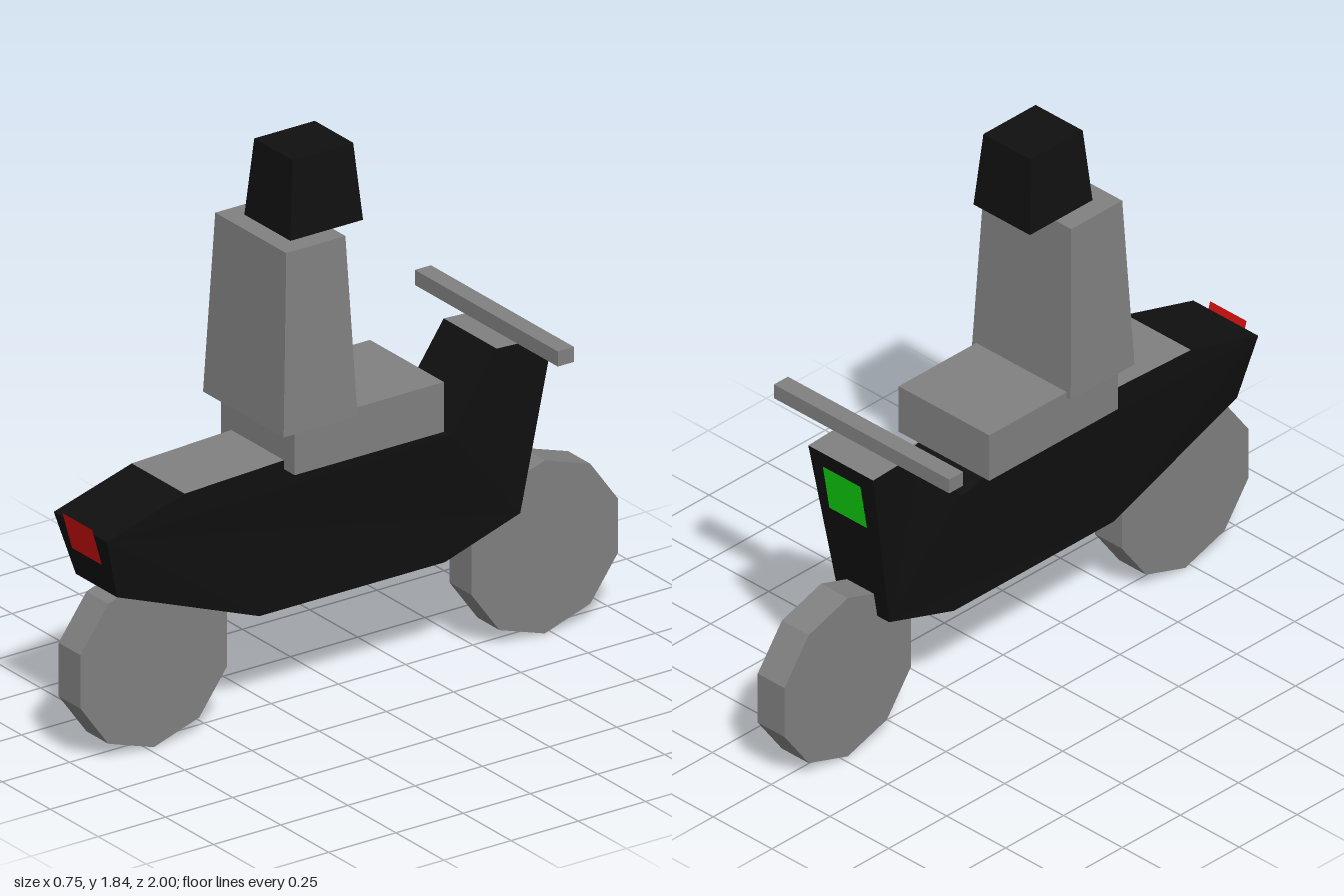
import * as THREE from 'three';

const mat = (name, color, side = THREE.FrontSide) => {
  const m = new THREE.MeshStandardMaterial({ color, side });
  m.name = name;
  return m;
};

// Unshared vertices give every face its own flat normal
function flat(geometry) {
  const g = geometry.index ? geometry.toNonIndexed() : geometry;
  g.computeVertexNormals();
  return g;
}

// Box whose top and bottom have different sizes; y0 and y1 are heights
function taperedBox(wBottom, dBottom, wTop, dTop, y0, y1) {
  const g = new THREE.BoxGeometry(1, y1 - y0, 1).translate(0, (y0 + y1) / 2, 0);
  const p = g.attributes.position;
  for (let i = 0; i < p.count; i++) {
    const top = p.getY(i) > (y0 + y1) / 2;
    p.setX(i, p.getX(i) * (top ? wTop : wBottom));
    p.setZ(i, p.getZ(i) * (top ? dTop : dBottom));
  }
  return flat(g);
}

// Scooter shell: side outline with a half width per point.
// Each row is z, y, half width, material of the strip to the next point.
function bodyGeometry() {
  const U = 0.138, L = 0.107, BLACK = 0, GREY = 1;
  const outline = [
    [-0.60, 0.45, L, GREY], [-0.32, 0.36, L, GREY], [0.37, 0.36, L, GREY], [0.90, 0.56, L, BLACK],
    [0.96, 0.77, U, BLACK], [0.67, 0.855, U, GREY], [0.30, 0.87, U, GREY], [-0.10, 0.84, U, BLACK],
    [-0.32, 0.79, U, BLACK], [-0.49, 1.035, U, GREY], [-0.70, 1.025, U, BLACK],
  ];
  const faces = [[], []];
  const at = (i, s) => [s * outline[i][2], outline[i][1], outline[i][0]];

  // side panels
  const contour = outline.map(([z, y]) => new THREE.Vector2(z, y));
  for (const [a, b, c] of THREE.ShapeUtils.triangulateShape(contour, [])) {
    faces[BLACK].push(at(a, -1), at(b, -1), at(c, -1), at(a, 1), at(c, 1), at(b, 1));
  }
  // strips around the outline
  outline.forEach((row, a) => {
    const b = (a + 1) % outline.length;
    faces[row[3]].push(at(a, -1), at(a, 1), at(b, 1), at(a, -1), at(b, 1), at(b, -1));
  });

  const g = new THREE.BufferGeometry();
  g.setAttribute('position', new THREE.Float32BufferAttribute(faces.flat(2), 3));
  g.addGroup(0, faces[BLACK].length, BLACK);
  g.addGroup(faces[BLACK].length, faces[GREY].length, GREY);
  return flat(g);
}

export function createModel() {
  const model = new THREE.Group();
  model.name = 'scooterWithRider';
  const black = mat('black', 0x101010);
  const grey = mat('grey', 0x808080);
  const red = mat('tailLightRed', 0xd01010, THREE.DoubleSide);
  const green = mat('headLightGreen', 0x10d010, THREE.DoubleSide);

  const add = (name, geometry, material, x = 0, y = 0, z = 0) => {
    const mesh = new THREE.Mesh(geometry, material);
    mesh.name = name;
    mesh.position.set(x, y, z);
    model.add(mesh);
    return mesh;
  };

  add('body', bodyGeometry(), [black, grey]);

  // ten-sided wheels with a corner at the bottom
  const R = 0.287;
  const wheel = flat(new THREE.CylinderGeometry(R, R, 0.114, 10).rotateY(Math.PI / 10).rotateZ(Math.PI / 2));
  add('rearWheel', wheel, grey, 0, R, 0.727);
  add('frontWheel', wheel, grey, 0, R, -0.727);

  add('seat', new THREE.BoxGeometry(0.385, 0.165, 0.555), grey, 0, 0.9225, 0.0225);
  add('handlebar', new THREE.BoxGeometry(0.745, 0.05, 0.06), grey, 0, 1.07, -0.58);

  // rider
  add('riderTorso', taperedBox(0.42, 0.275, 0.37, 0.22, 0.985, 1.58), grey, 0, 0, 0.216);
  add('riderHead', taperedBox(0.24, 0.27, 0.2, 0.225, 1.581, 1.835), black, 0, 0, 0.129);

  // lamps lie just off the sloping end faces
  const tail = add('tailLight', new THREE.PlaneGeometry(0.155, 0.13), red, 0, 0.728, 0.953);
  tail.rotation.x = Math.atan2(0.06, 0.21);
  const head = add('headLight', new THREE.PlaneGeometry(0.16, 0.165), green, 0, 0.892, -0.682);
  head.rotation.set(-Math.atan2(0.10, 0.575), Math.PI, 0);
  head.rotation.order = 'XYZ';
  return model;
}
